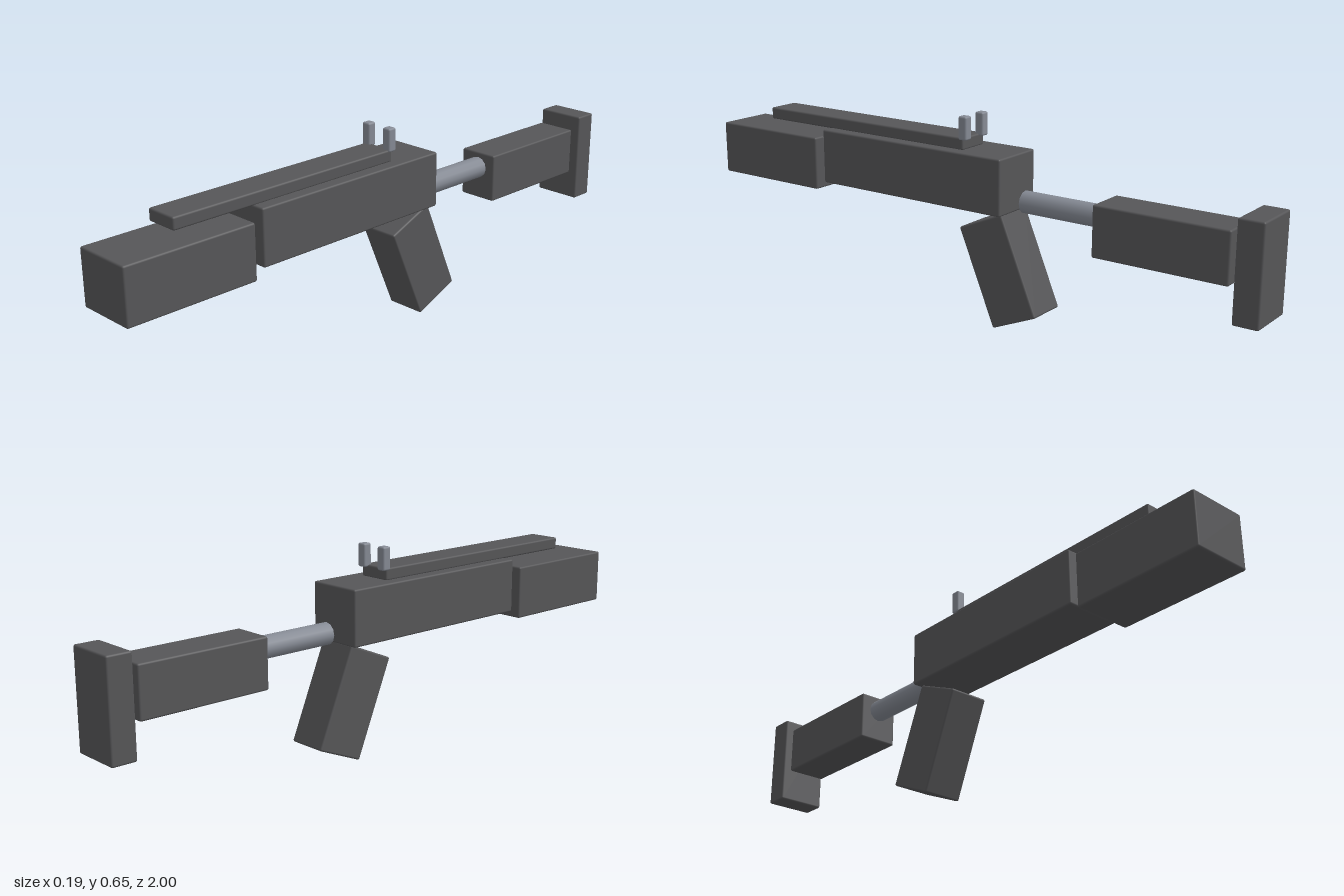
import * as THREE from 'three';
import { RoundedBoxGeometry } from 'three/addons/geometries/RoundedBoxGeometry.js';

export function createModel() {
  const model = new THREE.Group();
  const darkGrey = new THREE.MeshStandardMaterial({ color: 0x565658 });
  darkGrey.name = 'darkGrey';
  const steel = new THREE.MeshStandardMaterial({ color: 0x858a94 });
  steel.name = 'steel';

  // Softly bevelled block given by its width and its y and z ranges
  function block(name, material, width, [y0, y1], [z0, z1], x = 0) {
    const geometry = new RoundedBoxGeometry(width, y1 - y0, z1 - z0, 2, 0.006);
    const mesh = new THREE.Mesh(geometry, material);
    mesh.name = name;
    mesh.position.set(x, (y0 + y1) / 2, (z0 + z1) / 2);
    model.add(mesh);
    return mesh;
  }

  // Main body, front to back
  block('foreEnd', darkGrey, 0.194, [0.342, 0.516], [0.57, 1]);
  block('receiver', darkGrey, 0.184, [0.37, 0.547], [-0.167, 0.54]);
  block('topRail', darkGrey, 0.108, [0.545, 0.584], [-0.003, 0.81]);
  block('stock', darkGrey, 0.134, [0.298, 0.456], [-0.9, -0.472]);
  block('buttPlate', darkGrey, 0.162, [0.198, 0.499], [-1, -0.921]);

  // Pair of sight posts
  for (const side of [-1, 1]) {
    block(side > 0 ? 'leftSight' : 'rightSight', steel, 0.03, [0.577, 0.651], [-0.018, 0.012], side * 0.043);
  }

  // Raked grip
  const grip = block('grip', darkGrey, 0.134, [0.022, 0.352], [-0.225, -0.056]);
  grip.rotation.x = 0.4;

  // Faceted tube leading into the stock
  const tubeGeometry = new THREE.CylinderGeometry(0.035, 0.035, 0.3, 12).rotateX(Math.PI / 2);
  const tube = new THREE.Mesh(tubeGeometry, steel);
  tube.name = 'stockTube';
  tube.position.set(0, 0.405, -0.348);
  model.add(tube);

  return model;
}
